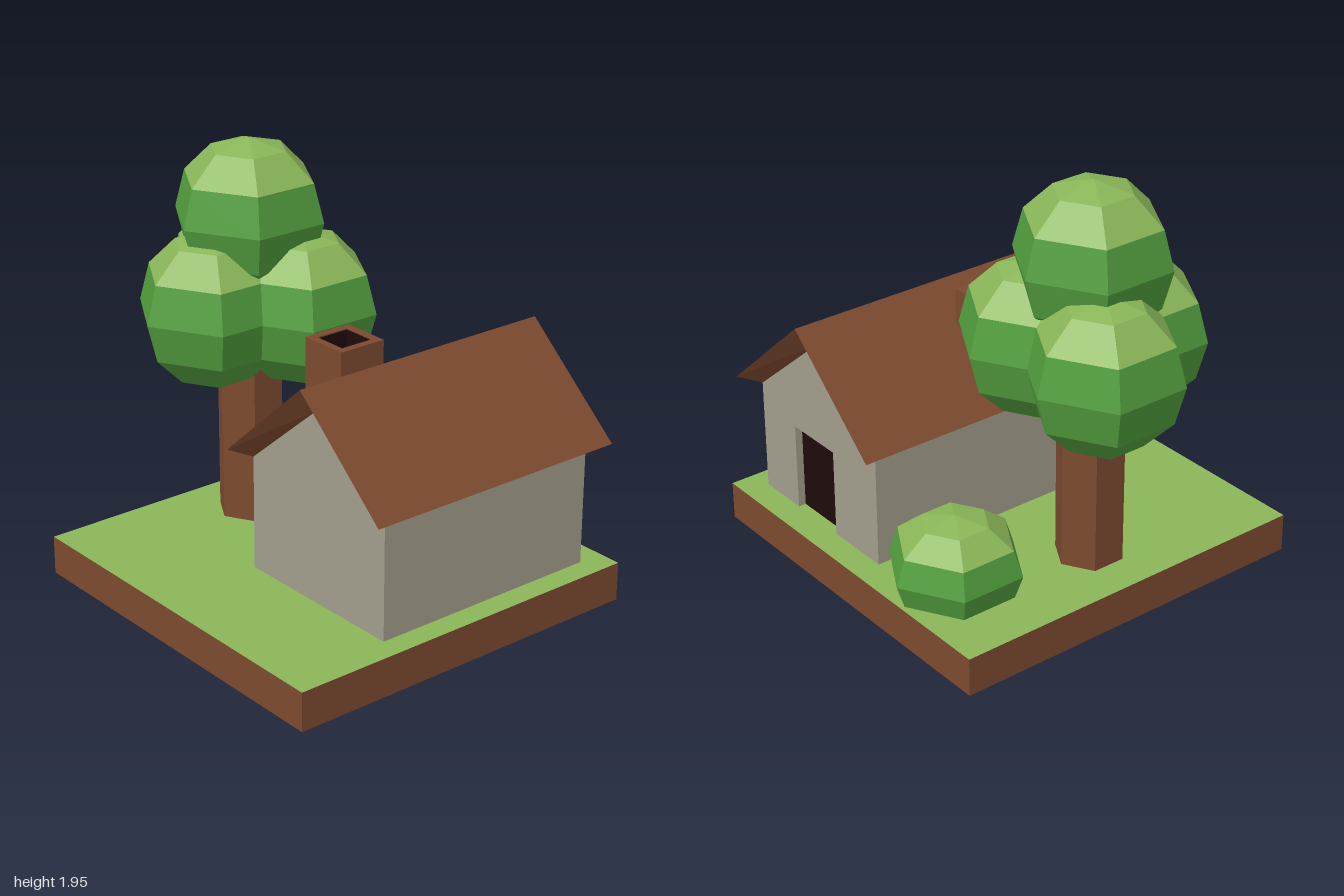
import * as THREE from 'three';

const mat = (name, color, side = THREE.FrontSide) =>
  Object.assign(new THREE.MeshStandardMaterial({ color, flatShading: true, side }), { name });

export function createModel() {
  const brown = mat('brown', 0x7d4a2f, THREE.DoubleSide);
  const grassGreen = mat('light green', 0x8ab658, THREE.DoubleSide);
  const leafGreen = mat('leaf green', 0x529e3e, THREE.DoubleSide);
  const stone = mat('stone grey', 0xa39e8c);
  const dark = mat('dark opening', 0x1e0a0a, THREE.DoubleSide);

  const model = new THREE.Group();
  model.name = 'cottageGarden';
  const add = (name, geometry, material, x = 0, y = 0, z = 0, parent = model) => {
    const mesh = new THREE.Mesh(geometry, material);
    mesh.name = name;
    mesh.position.set(x, y, z);
    parent.add(mesh);
    return mesh;
  };
  const group = (name) => {
    const g = new THREE.Group();
    g.name = name;
    model.add(g);
    return g;
  };

  // Ground: a hollow square of earth under a sheet of grass
  const ground = 0.18, side = 1.78;
  const rim = new THREE.CylinderGeometry(side / Math.SQRT2, side / Math.SQRT2, ground, 4, 1, true);
  add('earthRim', rim.rotateY(Math.PI / 4), brown, 0.11, ground / 2, 0.008);
  add('grass', new THREE.PlaneGeometry(side, side).rotateX(-Math.PI / 2), grassGreen, 0.11, ground, 0.008);

  // Six-sided leaf ball: light upper rows, darker rows below
  const leafBall = (name, r, x, y, z, squash = 1, lowerRows = 4) => {
    const ball = group(name);
    ball.position.set(x, y, z);
    const rows = (part, first, count, material) => {
      const geo = new THREE.SphereGeometry(r, 6, count, 0, Math.PI * 2,
        first * Math.PI / 6, count * Math.PI / 6);
      add(part, geo.rotateY(Math.PI / 2).scale(1, squash, 1), material, 0, 0, 0, ball);
    };
    rows('lightTop', 0, 2, grassGreen);
    rows('lowerLeaves', 2, lowerRows, leafGreen);
  };

  // Tree and bush
  const treeX = -0.465;
  add('trunk', new THREE.CylinderGeometry(0.156, 0.156, 1, 6, 1, true), brown, treeX, 0.61, 0.02);
  leafBall('topLeaves', 0.353, -0.458, 1.6, 0.02);
  leafBall('frontLeaves', 0.353, -0.46, 1.208, 0.222);
  leafBall('rightLeaves', 0.353, -0.695, 1.208, -0.11);
  leafBall('leftLeaves', 0.353, -0.256, 1.208, -0.11);
  leafBall('bush', 0.309, -0.308, 0.29, -0.59, 0.24 / 0.309, 2);

  // House walls; the rear layer has a notch for the doorway
  const [x0, xm, x1] = [0.025, 0.457, 0.89];
  const eave = 0.71, peak = 1.07, front = 0.38, back = -0.757, recess = 0.04;
  const [doorX0, doorX1, doorTop] = [0.345, 0.64, 0.595];
  const gable = (notch) => new THREE.Shape([
    [x0, ground],
    ...(notch ? [[doorX0, ground], [doorX0, doorTop], [doorX1, doorTop], [doorX1, ground]] : []),
    [x1, ground], [x1, eave], [xm, peak], [x0, eave],
  ].map((p) => new THREE.Vector2(...p)));
  const extrude = (shape, depth) => new THREE.ExtrudeGeometry(shape, { depth, bevelEnabled: false });
  add('houseWalls', extrude(gable(false), front - back - recess), stone, 0, 0, back + recess);
  add('doorwayWall', extrude(gable(true), recess), stone, 0, 0, back);
  add('door', new THREE.BoxGeometry(doorX1 - doorX0, doorTop - ground, 0.004), dark,
    (doorX0 + doorX1) / 2, (doorTop + ground) / 2, back + recess - 0.002);

  // Roof: two slopes, with soffits tapering from the sharp edge to the walls
  const outer = [[-0.042, 0.745], [xm, 1.185], [0.956, 0.745]];
  const inner = [[x0, eave], [xm, peak], [x1, eave]];
  const zf = 0.47, zb = -0.85;
  const corners = [];
  const quad = (a, b, c, d) => corners.push(...a, ...b, ...c, ...a, ...c, ...d);
  for (const i of [0, 1]) {
    const [p, q, u, v] = [outer[i], outer[i + 1], inner[i], inner[i + 1]];
    quad([...p, zf], [...q, zf], [...q, zb], [...p, zb]);
    quad([...p, zf], [...u, front], [...v, front], [...q, zf]);
    quad([...q, zb], [...v, back], [...u, back], [...p, zb]);
  }
  quad([...outer[0], zb], [...inner[0], back], [...inner[0], front], [...outer[0], zf]);
  quad([...outer[2], zf], [...inner[2], front], [...inner[2], back], [...outer[2], zb]);
  const roof = new THREE.BufferGeometry();
  roof.setAttribute('position', new THREE.Float32BufferAttribute(corners, 3));
  roof.computeVertexNormals();
  add('roof', roof, brown);

  // Chimney: square tube with a dark flue
  const square = (Type, h) => new Type([[-h, -h], [h, -h], [h, h], [-h, h]].map((p) => new THREE.Vector2(...p)));
  const ring = square(THREE.Shape, 0.118);
  ring.holes.push(square(THREE.Path, 0.082));
  add('chimney', extrude(ring, 0.41).rotateX(-Math.PI / 2), brown, 0.182, 0.8, 0.005);
  const flue = new THREE.CylinderGeometry(0.0815 * Math.SQRT2, 0.0815 * Math.SQRT2, 0.3, 4, 1, true);
  add('flueWalls', flue.rotateY(Math.PI / 4), dark, 0.182, 1.055, 0.005);
  add('flueFloor', new THREE.PlaneGeometry(0.163, 0.163).rotateX(-Math.PI / 2), dark, 0.182, 1.1, 0.005);

  return model;
}
